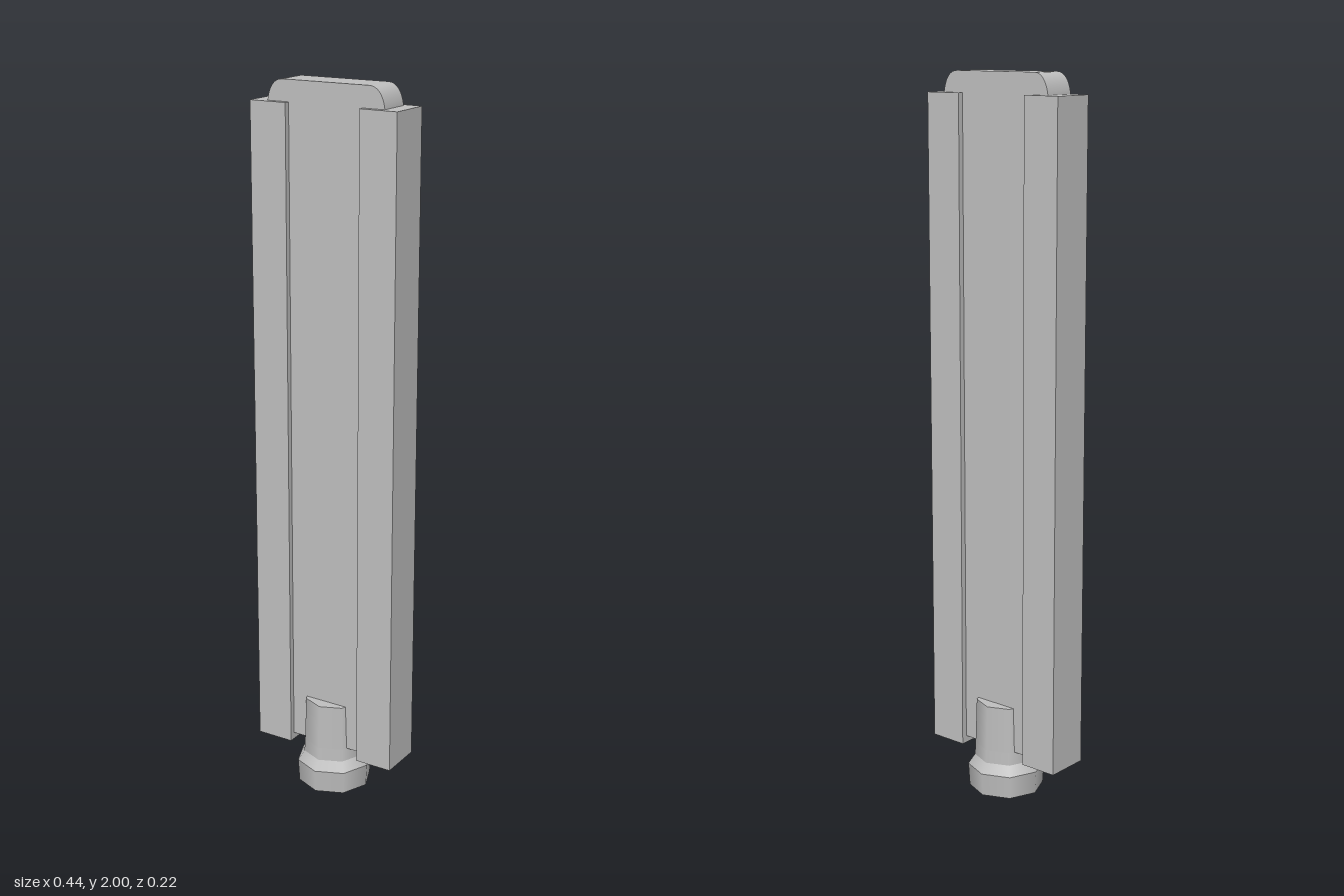
import * as THREE from 'three';
import { toCreasedNormals } from 'three/addons/utils/BufferGeometryUtils.js';

export function createModel() {
  const model = new THREE.Group();
  const grey = new THREE.MeshStandardMaterial({ color: 0xbfbfbf });
  grey.name = 'grey';

  const add = (name, geometry, x = 0, y = 0, z = 0) => {
    const mesh = new THREE.Mesh(geometry, grey);
    mesh.name = name;
    mesh.position.set(x, y, z);
    model.add(mesh);
  };

  // Central slab with rounded top corners
  const w = 0.175, depth = 0.094;
  const outline = new THREE.Shape();
  outline.moveTo(-w, 0.13);
  outline.lineTo(w, 0.13);
  outline.lineTo(w, 1.945);
  outline.bezierCurveTo(0.17, 1.978, 0.155, 2, 0.13, 2);
  outline.lineTo(-0.13, 2);
  outline.bezierCurveTo(-0.155, 2, -0.17, 1.978, -w, 1.945);
  const slab = new THREE.ExtrudeGeometry(outline, { depth, bevelEnabled: false, curveSegments: 8 });
  slab.translate(0, 0, -depth / 2);
  add('slab', toCreasedNormals(slab, 0.6));

  // Side rails gripping the slab
  for (const side of [-1, 1]) {
    add(side > 0 ? 'leftRail' : 'rightRail',
      new THREE.BoxGeometry(0.109, 1.833, 0.126), side * 0.165, 0.11 + 1.833 / 2);
  }

  // Eight-sided foot: name, top radius, bottom radius, bottom y, top y
  const foot = [
    ['footBase', 0.109, 0.105, 0, 0.065],
    ['footShoulder', 0.09, 0.109, 0.065, 0.093],
    ['footCollar', 0.088, 0.09, 0.093, 0.13],
    ['footStem', 0.084, 0.088, 0.13, 0.26],
  ];
  for (const [name, top, bottom, y0, y1] of foot) {
    add(name, new THREE.CylinderGeometry(top, bottom, y1 - y0, 8), 0, (y0 + y1) / 2);
  }

  return model;
}
